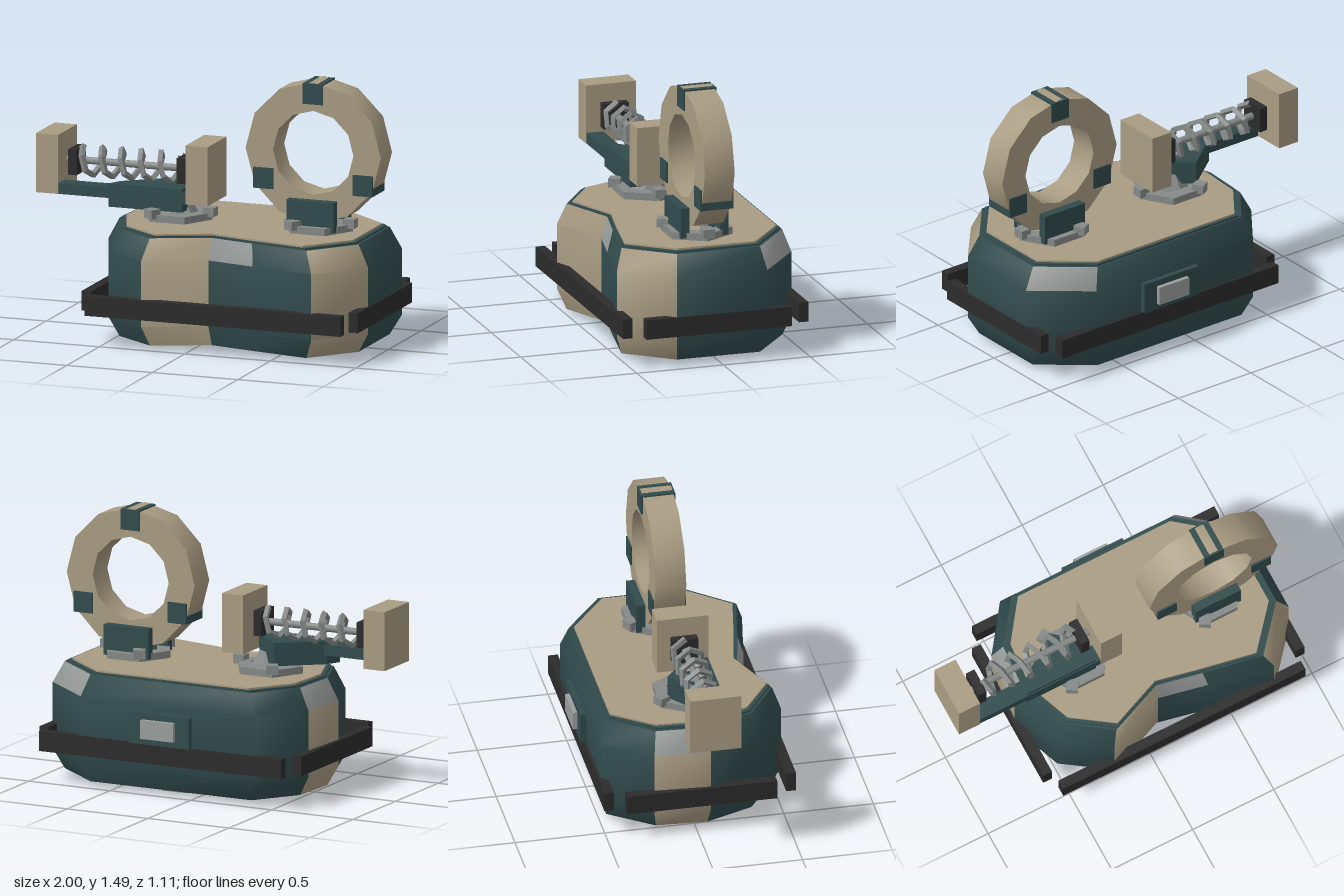
import * as THREE from 'three';
import { toCreasedNormals } from 'three/addons/utils/BufferGeometryUtils.js';

const paint = (name, color) => Object.assign(new THREE.MeshStandardMaterial({ color }), { name });

export function createModel() {
  const model = new THREE.Group();
  const tan = paint('tan', 0xa99c82);
  const green = paint('darkGreen', 0x314b4d);
  const black = paint('charcoal', 0x2b2b2b);
  const grey = paint('grey', 0x858a88);
  const light = paint('lightGrey', 0x9a9e9d);

  const add = (name, geo, mat, parent = model) => {
    const mesh = new THREE.Mesh(geo, mat);
    mesh.name = name;
    parent.add(mesh);
    return mesh;
  };
  // Box given by its minimum and maximum on each axis
  const box = (name, mat, x0, x1, y0, y1, z0, z1) => {
    const mesh = add(name, new THREE.BoxGeometry(x1 - x0, y1 - y0, z1 - z0), mat);
    mesh.position.set((x0 + x1) / 2, (y0 + y1) / 2, (z0 + z1) / 2);
    return mesh;
  };
  // Horizontal slab from a plan outline of [x, z] points
  const slab = (name, mat, pts, y0, y1) => {
    const shape = new THREE.Shape(pts.map(([x, z]) => new THREE.Vector2(x, -z)));
    const geo = new THREE.ExtrudeGeometry(shape, { depth: y1 - y0, bevelEnabled: false });
    return add(name, geo.rotateX(-Math.PI / 2).translate(0, y0, 0), mat);
  };
  // Flat ring with straight sides, lying in the xy plane
  const polygon = (n, r) => Array.from({ length: n }, (_, i) =>
    new THREE.Vector2(r * Math.cos(i * 2 * Math.PI / n), r * Math.sin(i * 2 * Math.PI / n)));
  const ringGeometry = (n, outer, inner, depth) => {
    const shape = new THREE.Shape(polygon(n, outer));
    shape.holes.push(new THREE.Path(polygon(n, inner)));
    return new THREE.ExtrudeGeometry(shape, { depth, bevelEnabled: false });
  };

  // Body: one plan outline lofted through four heights
  const outline = [[-0.24, 0.54], [0.1, 0.4], [0.38, 0.46], [0.75, 0.53], [0.98, 0.26], [0.98, -0.26],
    [0.68, -0.5], [-0.4, -0.5], [-0.59, -0.24], [-0.61, 0.07], [-0.5, 0.36]];
  const scaled = (s) => outline.map(([x, z]) => [0.185 + (x - 0.185) * s, z * s]);
  const levels = [[0.03, 0.92], [0.14, 1], [0.51, 1], [0.63, 0.92]];
  const n = outline.length;
  const positions = [];
  for (const [y, s] of levels) for (const [x, z] of scaled(s)) positions.push(x, y, z);
  const body = new THREE.BufferGeometry();
  body.setAttribute('position', new THREE.Float32BufferAttribute(positions, 3));
  const tanSides = [0, 3, 8];
  const greyBevels = [1, 5, 8];
  const index = [];
  for (let l = 0; l < 3; l++) {
    for (let i = 0; i < n; i++) {
      const a = l * n + i, b = l * n + (i + 1) % n;
      const colour = l === 2 && greyBevels.includes(i) ? 2 : tanSides.includes(i) ? 1 : 0;
      body.addGroup(index.length, 6, colour);
      index.push(a, b, b + n, a, b + n, a + n);
    }
  }
  body.setIndex(index);
  add('body', toCreasedNormals(body, 1), [green, tan, light]);
  slab('bodyTop', green, scaled(0.92), 0.6, 0.63);
  slab('bodyBottom', green, scaled(0.92), 0.03, 0.06);
  slab('topRim', green, scaled(0.9), 0.63, 0.64);
  slab('topPlate', tan, scaled(0.87), 0.64, 0.65);
  slab('bottomPlate', black, scaled(0.75), 0.018, 0.03);

  // Six-sided feet
  for (const [x, z] of [[-0.21, 0.165], [0.18, -0.235], [0.57, 0.165]]) {
    const geo = ringGeometry(6, 0.145, 0.09, 0.02).rotateX(-Math.PI / 2);
    add('foot', geo, grey).position.set(x, 0, z);
  }

  // Bumper bars
  box('frontBumper', black, -0.565, 0.93, 0.18, 0.29, 0.5, 0.555);
  box('backBumper', black, -0.565, 0.93, 0.18, 0.29, -0.515, -0.46);
  box('leftBumper', black, 0.932, 0.986, 0.18, 0.29, -0.4, 0.437);
  box('rightBumper', black, -0.627, -0.572, 0.18, 0.29, -0.4, 0.437);

  // Back panel
  box('backPanel', green, -0.005, 0.37, 0.29, 0.465, -0.53, -0.48);
  box('backPanelInset', light, 0.08, 0.285, 0.325, 0.43, -0.555, -0.53);

  // Six-sided sockets with three lugs, one under each top piece
  for (const x of [0.6, -0.22]) {
    const socket = new THREE.Group();
    socket.name = 'socket';
    socket.position.set(x, 0.65, 0.02);
    model.add(socket);
    add('socketRing', ringGeometry(6, 0.2, 0.12, 0.04).rotateX(-Math.PI / 2), grey, socket);
    for (let i = 0; i < 3; i++) {
      const a = i * 2 * Math.PI / 3;
      const lug = add('socketLug', new THREE.BoxGeometry(0.065, 0.05, 0.065), grey, socket);
      lug.position.set(0.185 * Math.cos(a), 0.045, 0.185 * Math.sin(a));
      lug.rotation.y = -a;
    }
  }

  // Upright twelve-sided ring with clamps and side plates
  const hoop = toCreasedNormals(ringGeometry(12, 0.395, 0.235, 0.172), 0.7);
  add('hoop', hoop, tan).position.set(0.6, 1.09, -0.067);
  for (const [x, y] of [[0.6, 1.42], [0.31, 0.928], [0.89, 0.928]]) {
    box('hoopClamp', green, x - 0.058, x + 0.058, y - 0.058, y + 0.058, -0.076, 0.114);
  }
  box('hoopFrontPlate', green, 0.463, 0.74, 0.66, 0.83, 0.108, 0.158);
  box('hoopBackPlate', green, 0.463, 0.74, 0.66, 0.83, -0.118, -0.07);

  // Spring arm: saddle, rail and end blocks
  const pivot = add('armPivot', new THREE.CylinderGeometry(0.06, 0.13, 0.11, 6).toNonIndexed(), grey);
  pivot.geometry.computeVertexNormals();
  pivot.position.set(-0.22, 0.705, 0.02);
  slab('armSaddle', green, [[-0.58, 0.15], [-0.15, 0.15], [-0.15, 0.02], [-0.31, -0.11], [-0.54, 0.07]], 0.705, 0.835);
  box('armRail', green, -0.87, -0.125, 0.755, 0.815, 0.06, 0.157);
  box('armOuterBlock', tan, -1, -0.87, 0.755, 1.085, -0.128, 0.16);
  box('armInnerBlock', tan, -0.125, 0.004, 0.755, 1.085, -0.128, 0.16);

  // Rod with end stops
  box('outerStop', black, -0.84, -0.79, 0.85, 0.992, -0.06, 0.085);
  box('innerStop', black, -0.206, -0.156, 0.85, 0.992, -0.06, 0.085);
  const rod = add('rod', new THREE.CylinderGeometry(0.02, 0.02, 0.76, 8), grey);
  rod.rotation.z = Math.PI / 2;
  rod.position.set(-0.5, 0.922, 0.012);

  // Coarse coil around the rod
  const turns = 5, steps = turns * 6;
  const coilPath = new THREE.CatmullRomCurve3(Array.from({ length: steps + 1 }, (_, i) => {
    const a = i / 6 * 2 * Math.PI;
    return new THREE.Vector3(-0.78 + 0.57 * i / steps, 0.922 + 0.08 * Math.cos(a), 0.012 + 0.08 * Math.sin(a));
  }));
  const coil = new THREE.TubeGeometry(coilPath, steps, 0.019, 4).toNonIndexed();
  coil.computeVertexNormals();
  add('coil', coil, grey);

  return model;
}
